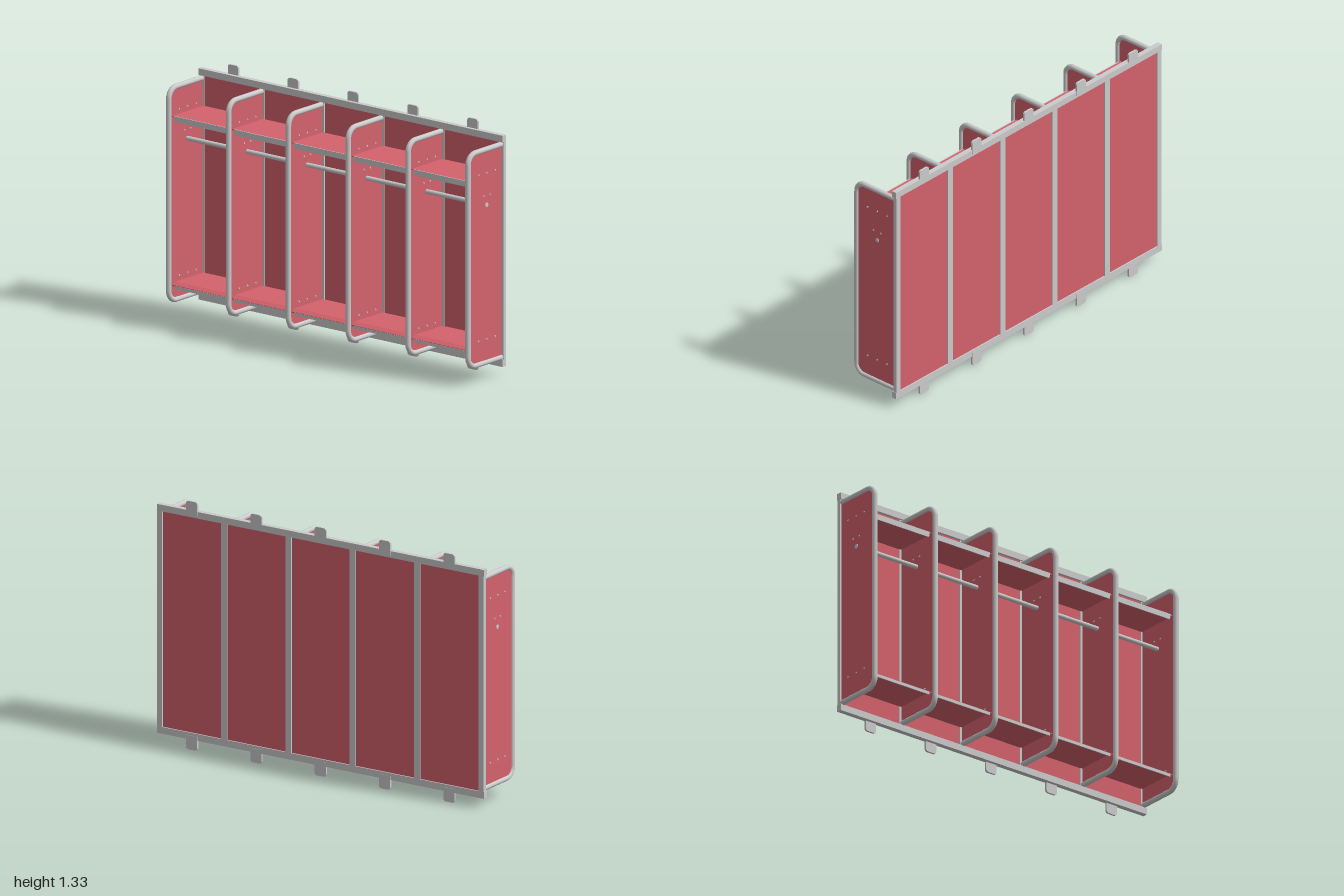
import * as THREE from 'three';

const grey = new THREE.MeshStandardMaterial({ color: 0xcccccc });
const red = new THREE.MeshStandardMaterial({ color: 0xd4626c });

const BAYS = 5, PITCH = 0.3935, HALF = 0.984;
const BACK = -0.149, Y0 = 0.102, Y1 = 1.225, ZF = 0.136, R = 0.055, TUBE = 0.0142;

export function createModel() {
  const root = new THREE.Group();
  root.name = 'wallLockerRow';

  const add = (name, geo, mat, x = 0, y = 0, z = 0, parent = root) => {
    const m = new THREE.Mesh(geo, mat);
    m.name = name;
    m.position.set(x, y, z);
    parent.add(m);
    return m;
  };
  // Box given by its x centre, width and y / z limits
  const box = (name, mat, x, w, ya, yb, za, zb, parent) =>
    add(name, new THREE.BoxGeometry(w, yb - ya, zb - za), mat, x, (ya + yb) / 2, (za + zb) / 2, parent);
  // Outline in (z, y) extruded along x and centred on x = 0
  const extrudeX = (shape, w) => {
    const g = new THREE.ExtrudeGeometry(shape, { depth: w, bevelEnabled: false, curveSegments: 8 });
    return g.translate(0, 0, -w / 2).rotateY(-Math.PI / 2);
  };
  const rodX = (r, w, seg) => new THREE.CylinderGeometry(r, r, w, seg).rotateZ(Math.PI / 2);

  // Horizontal back rails
  box('topRail', grey, 0, 2, 1.24, 1.275, BACK, -0.12);
  box('bottomRail', grey, 0, 2, 0.054, 0.09, BACK, -0.12);

  // Mounting tab with two rounded outer corners
  const tw = 0.034, th = 0.075, tr = 0.014;
  const tab = new THREE.Shape();
  tab.moveTo(-tw, 0).lineTo(tw, 0).lineTo(tw, th - tr);
  tab.absarc(tw - tr, th - tr, tr, 0, Math.PI / 2);
  tab.absarc(-tw + tr, th - tr, tr, Math.PI / 2, Math.PI);
  tab.closePath();
  const tabGeo = new THREE.ExtrudeGeometry(tab, { depth: 0.011, bevelEnabled: false, curveSegments: 6 });
  const tabDown = tabGeo.clone().rotateZ(Math.PI);

  // Bent tube hoop around each divider
  const hoop = new THREE.CurvePath();
  const v = (y, z) => new THREE.Vector3(0, y, z);
  const bend = (a, b, c) => new THREE.CubicBezierCurve3(a, a.clone().lerp(b, 0.5523), c.clone().lerp(b, 0.5523), c);
  hoop.add(new THREE.LineCurve3(v(Y0, -0.13), v(Y0, ZF - R)));
  hoop.add(bend(v(Y0, ZF - R), v(Y0, ZF), v(Y0 + R, ZF)));
  hoop.add(new THREE.LineCurve3(v(Y0 + R, ZF), v(Y1 - R, ZF)));
  hoop.add(bend(v(Y1 - R, ZF), v(Y1, ZF), v(Y1, ZF - R)));
  hoop.add(new THREE.LineCurve3(v(Y1, ZF - R), v(Y1, -0.13)));
  const hoopGeo = new THREE.TubeGeometry(hoop, 150, TUBE, 14);

  // Divider sheet with rounded front corners
  const sheet = new THREE.Shape();
  sheet.moveTo(-0.14, Y0).lineTo(ZF - R, Y0);
  sheet.absarc(ZF - R, Y0 + R, R, -Math.PI / 2, 0);
  sheet.absarc(ZF - R, Y1 - R, R, 0, Math.PI / 2);
  sheet.lineTo(-0.14, Y1).closePath();
  const sheetGeo = extrudeX(sheet, 0.008);
  const rivetGeo = rodX(0.0045, 0.016, 8);
  const rivets = [[0.058, 1.104], [-0.008, 1.104], [-0.075, 1.104], [0.017, 0.984], [-0.033, 0.984],
    [0.058, 0.226], [-0.008, 0.226], [-0.075, 0.226]];

  for (let i = 0; i <= BAYS; i++) {
    const d = new THREE.Group();
    d.name = 'divider';
    d.position.x = -HALF + i * PITCH;
    root.add(d);
    add('hoopTube', hoopGeo, grey, 0, 0, 0, d);
    add('dividerPanel', sheetGeo, red, 0, 0, 0, d);
    box('backUpright', grey, 0, i % BAYS ? 0.036 : 0.03, 0.09, 1.24, BACK, -0.129, d);
    for (const [z, y] of rivets) add('rivet', rivetGeo, grey, 0, y, z, d);
  }

  // Bench section: flat seat with a sloped front edge
  const bench = new THREE.Shape();
  bench.moveTo(-0.132, 0.198).lineTo(0.09, 0.198).lineTo(0.117, 0.186).lineTo(0.117, 0.18);
  bench.lineTo(0.088, 0.193).lineTo(-0.132, 0.193).closePath();
  const W = PITCH - 0.012;
  const benchGeo = extrudeX(bench, W);

  // Shelf lip, slightly narrower at the bottom
  const lip = new THREE.Shape();
  lip.moveTo(-0.171, 0).lineTo(0.171, 0).lineTo(0.177, 0.03).lineTo(-0.177, 0.03).closePath();
  const lipGeo = new THREE.ExtrudeGeometry(lip, { depth: 0.005, bevelEnabled: false });

  for (let i = 0; i < BAYS; i++) {
    const b = new THREE.Group();
    b.name = 'bay';
    b.position.x = -HALF + (i + 0.5) * PITCH;
    root.add(b);
    box('backPanel', red, 0, PITCH - 0.02, 0.088, 1.242, -0.142, -0.134, b);
    box('shelf', red, 0, W, 1.074, 1.079, -0.132, 0.115, b);
    add('shelfLip', lipGeo, grey, 0, 1.05, 0.114, b);
    add('bench', benchGeo, red, 0, 0, 0, b);
    box('benchLip', grey, 0, W - 0.03, 0.168, 0.184, 0.113, 0.118, b);
    add('topTab', tabGeo, grey, 0, 1.25, BACK - 0.001, b);
    add('bottomTab', tabDown, grey, 0, 0.075, BACK - 0.001, b);
  }

  // Hanging rail through all the dividers
  add('hangingRail', rodX(0.012, 2 * HALF + 0.012, 20), grey, 0, 0.934, -0.008);

  return root;
}
